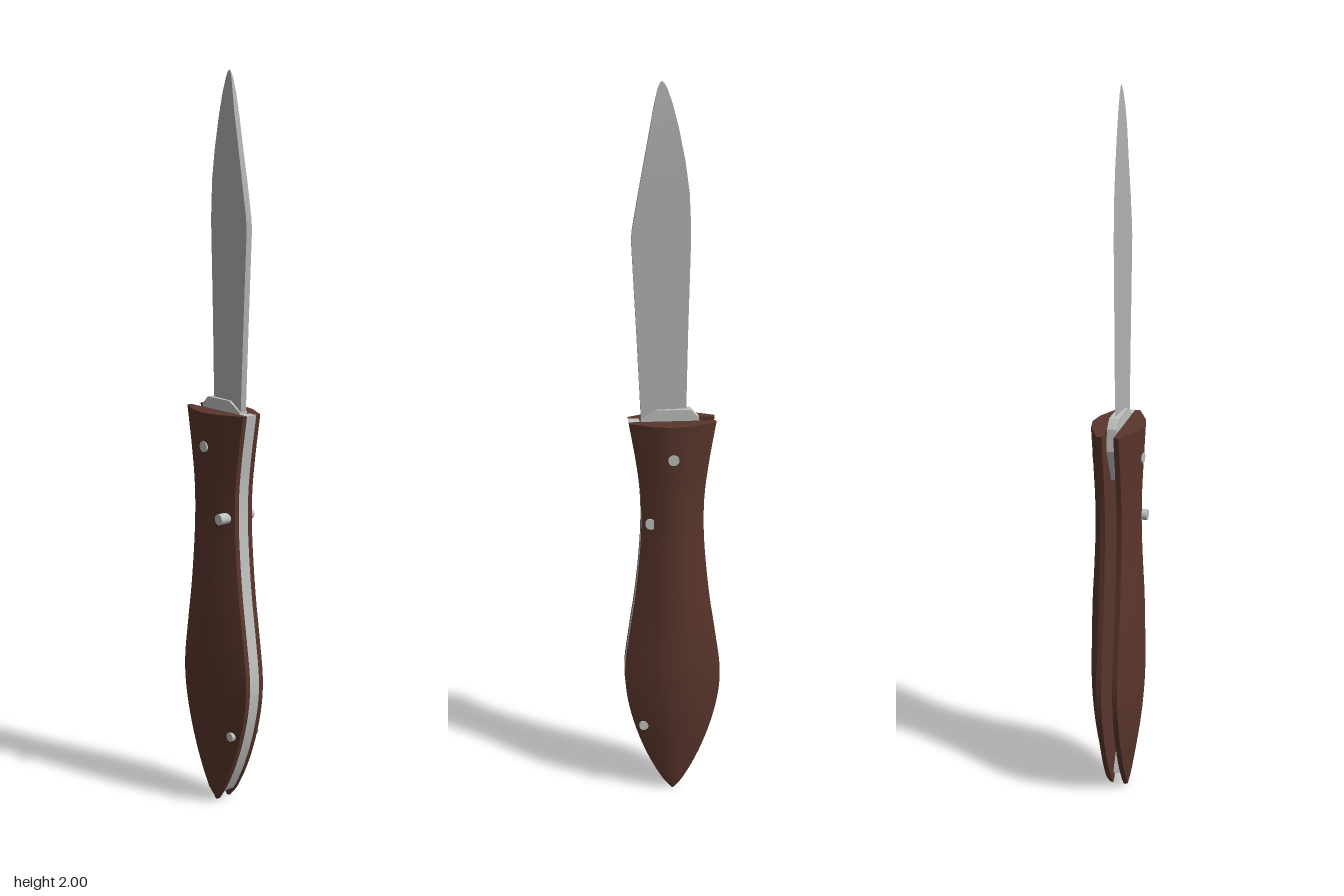
import * as THREE from 'three';
import { toCreasedNormals } from 'three/addons/utils/BufferGeometryUtils.js';

// Skin a stack of closed rings (bottom to top) and cap both ends
function loft(rings, crease = 0.6) {
  const n = rings[0].length, index = [];
  for (let i = 0; i < rings.length - 1; i++) {
    for (let j = 0; j < n; j++) {
      const a = i * n + j, b = i * n + (j + 1) % n;
      index.push(a, b, b + n, a, b + n, a + n);
    }
  }
  const top = (rings.length - 1) * n;
  for (let j = 1; j < n - 1; j++) {
    index.push(0, j + 1, j, top, top + j, top + j + 1);
  }
  const geo = new THREE.BufferGeometry();
  geo.setAttribute('position', new THREE.Float32BufferAttribute(rings.flat(2), 3));
  geo.setIndex(index);
  return toCreasedNormals(geo, crease);
}

export function createModel() {
  const knife = new THREE.Group();
  knife.name = 'foldingKnife';

  const wood = new THREE.MeshStandardMaterial({ color: 0x5a362c });
  wood.name = 'brownWood';
  const steel = new THREE.MeshStandardMaterial({ color: 0xb2b2b2 });
  steel.name = 'bladeSteel';
  const bright = new THREE.MeshStandardMaterial({ color: 0xc0c2c0 });
  bright.name = 'brightSteel';

  const add = (name, geo, mat) => {
    const mesh = new THREE.Mesh(geo, mat);
    mesh.name = name;
    knife.add(mesh);
    return mesh;
  };

  // Handle profile: half width, height, outer thickness
  const profile = new THREE.CatmullRomCurve3([
    [0.004, 0, 0.027], [0.026, 0.03, 0.034], [0.065, 0.1, 0.046], [0.104, 0.2, 0.061],
    [0.128, 0.3, 0.07], [0.133, 0.38, 0.073], [0.118, 0.5, 0.073], [0.103, 0.6, 0.072],
    [0.092, 0.7, 0.067], [0.085, 0.8, 0.063], [0.086, 0.9, 0.063], [0.098, 1.0, 0.067],
    [0.117, 1.113, 0.072],
  ].map(p => new THREE.Vector3(...p)), false, 'centripetal');
  const stations = profile.getPoints(48);

  // Two mirrored wooden scales with a domed outer face
  const inner = 0.016;
  const scaleGeo = loft(stations.map(({ x: w, y, z: t }) => {
    const e = Math.min(0.03, t - 0.004);
    const mid = e + (t - e) * 0.81;
    return [[-w, y, e], [-w * 0.4, y, mid], [0, y, t], [w * 0.4, y, mid], [w, y, e],
      [w, y, inner], [-w, y, inner]];
  }));
  add('frontScale', scaleGeo, wood);
  add('backScale', scaleGeo, wood).rotation.y = Math.PI;

  // Spring strip closing the +x side of the slot
  add('backSpring', loft(stations.filter(p => p.y > 0.028).map(({ x: w, y }) => {
    const d = Math.min(0.03, w);
    return [[w - d, y, inner], [w, y, inner], [w, y, -inner], [w - d, y, -inner]];
  })), bright);

  // Wedge blade: height, cutting edge x, spine x, half thickness
  add('blade', loft([
    [1.1, -0.038, 0.082, 0.009], [1.35, -0.043, 0.093, 0.009], [1.6, -0.05, 0.105, 0.009],
    [1.63, -0.05, 0.102, 0.009], [1.72, -0.046, 0.086, 0.009], [1.8, -0.035, 0.071, 0.008],
    [1.88, -0.019, 0.056, 0.008], [1.94, -0.004, 0.045, 0.006], [1.98, 0.01, 0.036, 0.003],
    [1.995, 0.018, 0.03, 0.001], [2, 0.024, 0.025, 0.0005],
  ].map(([y, l, r, t]) => [[l, y, 0], [r, y, t], [r, y, -t]]), 0.5), steel);

  // Tang around the pivot, showing a small step at the blade root
  const tang = new THREE.Shape([
    [-0.03, 0.96], [0.04, 0.96], [0.083, 1.0], [0.083, 1.118], [0.04, 1.143],
    [-0.05, 1.143], [-0.072, 1.12], [-0.08, 1.06],
  ].map(p => new THREE.Vector2(...p)));
  const tangGeo = new THREE.ExtrudeGeometry(tang, { depth: 0.026, bevelEnabled: false });
  add('tang', tangGeo.translate(0, 0, -0.013), bright);

  // Through pins: name, x, y, radius, back z, front z
  for (const [name, x, y, r, z0, z1] of [
    ['pivotPin', 0, 1.02, 0.015, -0.07, 0.07],
    ['lockButton', 0.06, 0.83, 0.015, -0.047, 0.067],
    ['tailPin', 0.083, 0.215, 0.013, -0.047, 0.047],
  ]) {
    const geo = new THREE.CylinderGeometry(r, r, z1 - z0, 16).rotateX(Math.PI / 2);
    add(name, geo.translate(x, y, (z0 + z1) / 2), bright);
  }

  return knife;
}
